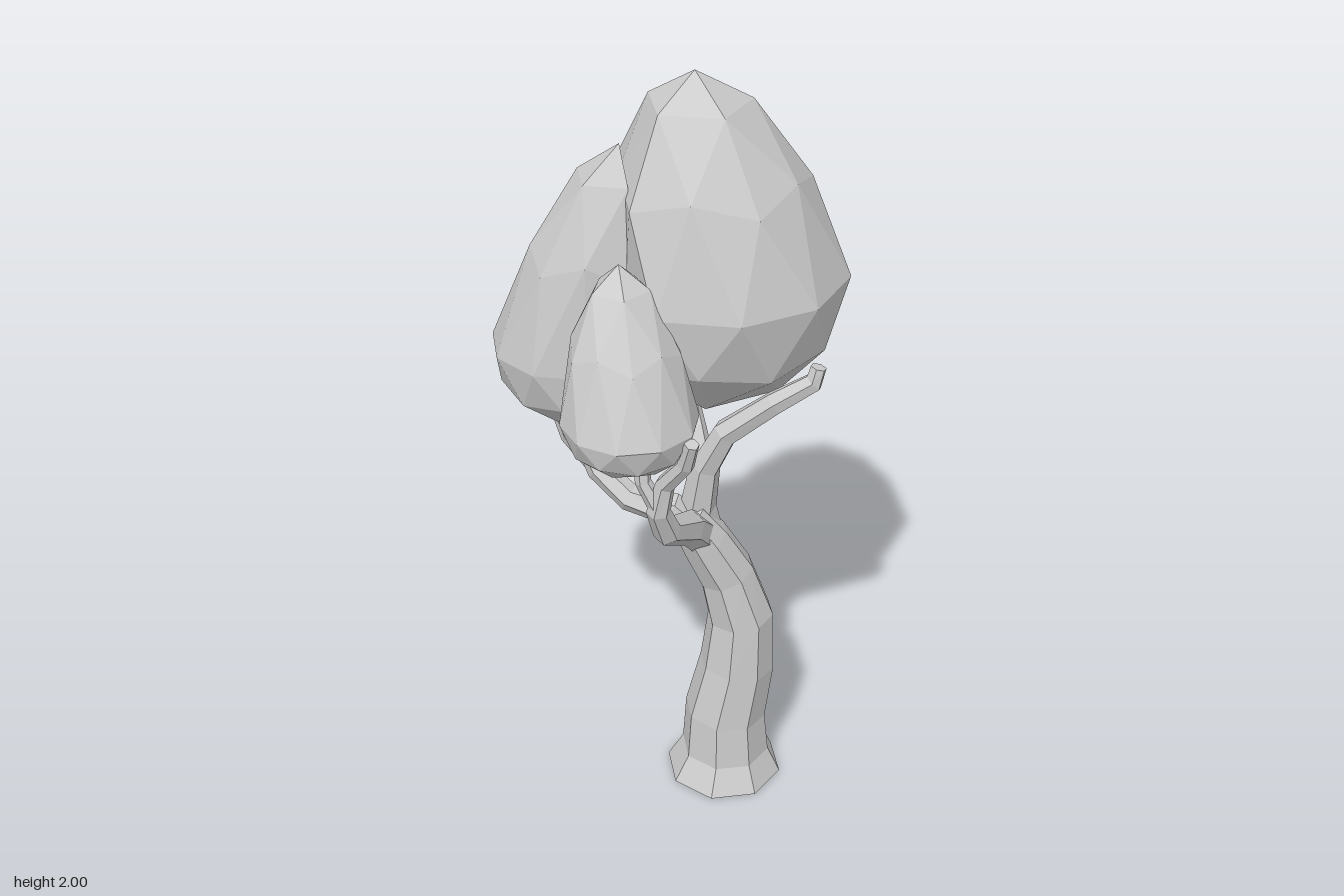
import * as THREE from 'three';

const material = new THREE.MeshStandardMaterial({ color: 0xcccccc, flatShading: true });
const openMaterial = new THREE.MeshStandardMaterial({ color: 0xcccccc, flatShading: true, side: THREE.DoubleSide });

// Faceted tapering limb through points [x, y, z, radius]
function limb(name, points, sides, startDir) {
  const up = new THREE.Vector3(0, 1, 0);
  const centres = points.map(p => new THREE.Vector3(p[0], p[1], p[2]));
  const last = points.length - 1;
  const pos = [], index = [];
  centres.forEach((c, i) => {
    const tangent = centres[Math.min(i + 1, last)].clone().sub(centres[Math.max(i - 1, 0)]).normalize();
    if (i === 0 && startDir) tangent.copy(startDir);
    const q = new THREE.Quaternion().setFromUnitVectors(up, tangent);
    for (let s = 0; s < sides; s++) {
      const a = (s + 0.5) / sides * Math.PI * 2;
      const v = new THREE.Vector3(Math.sin(a), 0, Math.cos(a)).multiplyScalar(points[i][3]).applyQuaternion(q).add(c);
      pos.push(v.x, v.y, v.z);
      if (i < last) {
        const n = (s + 1) % sides, r = i * sides;
        index.push(r + s, r + n, r + sides + n, r + s, r + sides + n, r + sides + s);
      }
    }
  });
  for (let s = 1; s < sides - 1; s++) index.push(last * sides, last * sides + s, last * sides + s + 1);
  const geo = new THREE.BufferGeometry();
  geo.setAttribute('position', new THREE.Float32BufferAttribute(pos, 3));
  geo.setIndex(index);
  geo.computeVertexNormals();
  const mesh = new THREE.Mesh(geo, openMaterial);
  mesh.name = name;
  return mesh;
}

// Low-poly ball, drawn out to a leaning tip and flattened where it meets its neighbour
function crown({ name, centre, radius, top, bottom, taper, lean, spin, minX = -9, maxX = 9 }) {
  const geo = new THREE.IcosahedronGeometry(1, 1);
  geo.rotateZ(Math.atan(2 / (1 + Math.sqrt(5)))); // one corner straight up
  geo.rotateY(spin);
  const p = geo.attributes.position;
  for (let i = 0; i < p.count; i++) {
    const y = p.getY(i), h = Math.max(y, 0);
    const r = radius * (1 - taper * h);
    const x = centre[0] + p.getX(i) * r + lean[0] * h;
    p.setXYZ(i,
      THREE.MathUtils.clamp(x, minX, maxX),
      centre[1] + y * (y > 0 ? top : bottom),
      centre[2] + p.getZ(i) * r + lean[1] * h);
  }
  geo.computeVertexNormals();
  const mesh = new THREE.Mesh(geo, material);
  mesh.name = name;
  return mesh;
}

export function createModel() {
  const tree = new THREE.Group();
  tree.name = 'tree';

  // Curved trunk with a flared foot
  tree.add(limb('trunk', [
    [0.142, 0, 0.008, 0.158], [0.145, 0.075, 0.01, 0.12], [0.143, 0.2, 0.01, 0.11],
    [0.172, 0.36, 0.013, 0.1], [0.178, 0.52, 0.016, 0.088], [0.137, 0.66, 0.018, 0.075],
    [0.075, 0.78, 0.03, 0.066], [0.025, 0.87, 0.045, 0.05],
  ], 8, new THREE.Vector3(0, 1, 0)));

  // Branches and twigs
  const branches = {
    rightBranch: [[0.085, 0.75, 0.025, 0.05], [0.06, 0.87, 0.02, 0.048], [0.075, 1.0, 0.035, 0.04],
      [0.12, 1.11, 0.065, 0.035], [0.23, 1.21, 0.11, 0.03], [0.32, 1.27, 0.13, 0.025], [0.33, 1.31, 0.13, 0.02]],
    backBranch: [[0.07, 0.98, 0.03, 0.035], [0.06, 1.07, -0.03, 0.03], [0.06, 1.12, -0.13, 0.023],
      [0.06, 1.2, -0.15, 0.02]],
    backTwig: [[0.06, 1.11, -0.1, 0.018], [0.01, 1.14, -0.1, 0.016], [0.0, 1.21, -0.09, 0.015]],
    frontBranch: [[0.06, 0.8, 0.04, 0.05], [0.02, 0.87, 0.11, 0.046], [-0.05, 0.94, 0.22, 0.036],
      [-0.075, 1.02, 0.25, 0.03], [-0.06, 1.1, 0.26, 0.025], [-0.02, 1.18, 0.31, 0.022], [-0.01, 1.25, 0.335, 0.018]],
    frontTwig: [[-0.075, 1.03, 0.25, 0.024], [-0.11, 1.1, 0.24, 0.02], [-0.11, 1.2, 0.23, 0.018]],
    leftBranch: [[0.06, 0.8, 0.03, 0.05], [-0.01, 0.87, 0.02, 0.045], [-0.11, 0.89, -0.02, 0.036],
      [-0.18, 0.95, -0.07, 0.032], [-0.21, 1.02, -0.1, 0.028], [-0.21, 1.15, -0.1, 0.022]],
    leftTwig: [[-0.19, 0.96, -0.08, 0.024], [-0.25, 1.02, -0.13, 0.02], [-0.27, 1.08, -0.15, 0.018],
      [-0.27, 1.16, -0.15, 0.016]],
  };
  for (const [name, points] of Object.entries(branches)) tree.add(limb(name, points, 6));

  // Foliage
  tree.add(crown({ name: 'mainCrown', centre: [0.115, 1.5, -0.06], radius: 0.322, top: 0.5, bottom: 0.35,
    taper: 0.28, lean: [-0.06, 0.02], spin: Math.PI, minX: -0.12 }));
  tree.add(crown({ name: 'leftCrown', centre: [-0.22, 1.3, -0.12], radius: 0.213, top: 0.54, bottom: 0.22,
    taper: 0.2, lean: [0.1, 0.09], spin: Math.PI, maxX: -0.11 }));
  tree.add(crown({ name: 'frontCrown', centre: [-0.137, 1.26, 0.22], radius: 0.164, top: 0.36, bottom: 0.13,
    taper: 0.22, lean: [-0.01, -0.08], spin: 0.31 }));

  return tree;
}
